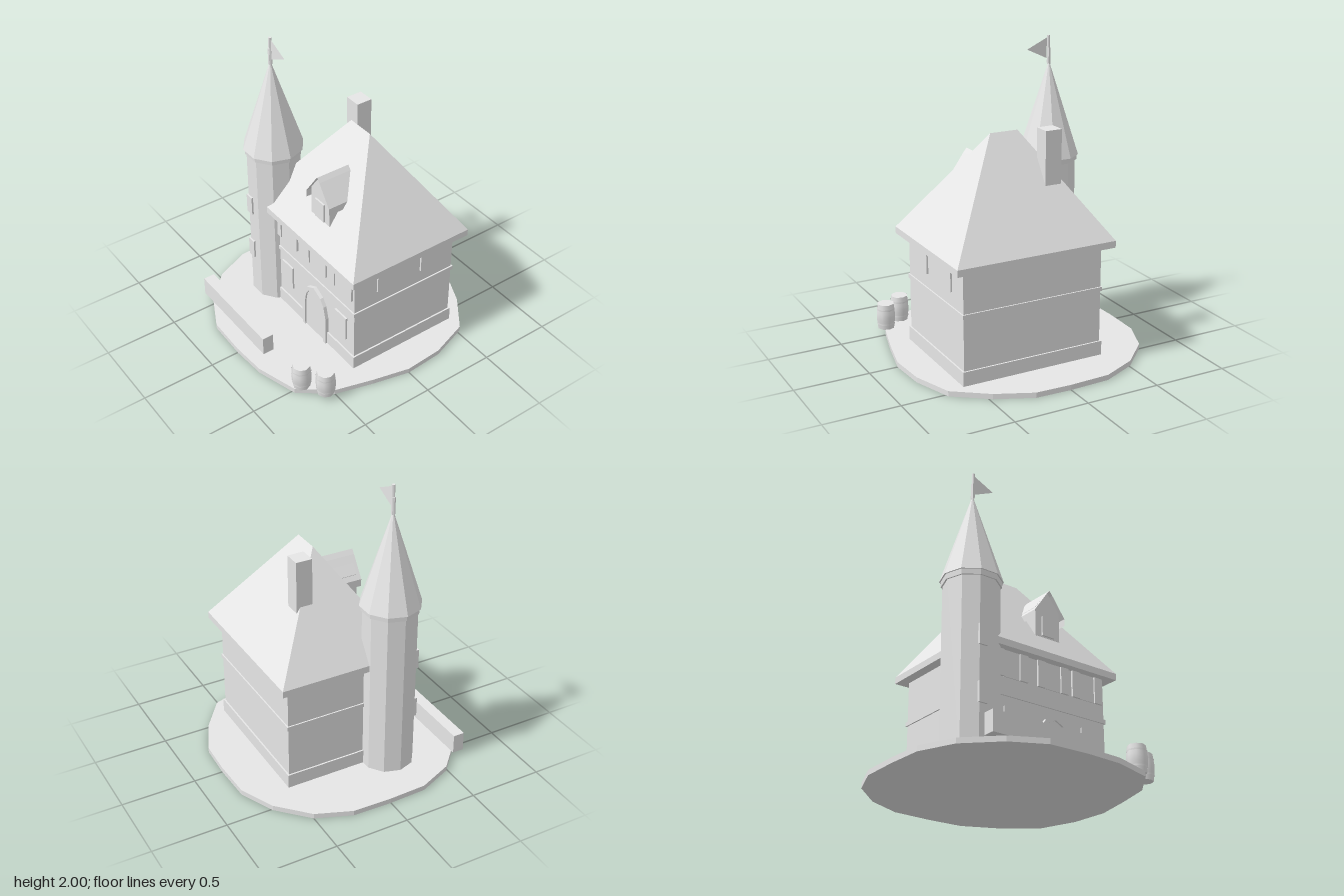
import * as THREE from 'three';

const stone = new THREE.MeshStandardMaterial({ color: 0xe6e6e6, side: THREE.DoubleSide });
stone.name = 'paleGrey';

export function createModel() {
  const root = new THREE.Group();
  root.name = 'towerHouse';

  const add = (name, geo, parent = root) => {
    const mesh = new THREE.Mesh(geo, stone);
    mesh.name = name;
    parent.add(mesh);
    return mesh;
  };
  const group = (name) => {
    const g = new THREE.Group();
    g.name = name;
    root.add(g);
    return g;
  };
  // Box given by its limits on each axis
  const box = (name, x0, x1, y0, y1, z0, z1, parent) => {
    const geo = new THREE.BoxGeometry(x1 - x0, y1 - y0, z1 - z0);
    geo.translate((x0 + x1) / 2, (y0 + y1) / 2, (z0 + z1) / 2);
    return add(name, geo, parent);
  };
  // Flat-faced triangles from a list of four-cornered faces
  const quads = (faces) => {
    const pos = faces.flatMap(([a, b, c, d]) => [a, b, c, a, c, d].flat());
    const geo = new THREE.BufferGeometry();
    geo.setAttribute('position', new THREE.Float32BufferAttribute(pos, 3));
    geo.computeVertexNormals();
    return geo;
  };
  // Open shell through rectangular sections [y, x0, x1, z0, z1], from bottom to top
  const shell = (sections) => {
    const loops = sections.map(([y, x0, x1, z0, z1]) => [[x0, y, z1], [x1, y, z1], [x1, y, z0], [x0, y, z0]]);
    const faces = [];
    for (let i = 0; i < loops.length - 1; i++)
      for (let k = 0; k < 4; k++) {
        const n = (k + 1) % 4;
        faces.push([loops[i][k], loops[i][n], loops[i + 1][n], loops[i + 1][k]]);
      }
    return quads(faces);
  };
  // Turned shape with flat facets and a corner on the x axis
  const turned = (profile, sides, x, z) => {
    const pts = profile.map(([r, y]) => new THREE.Vector2(r, y));
    const geo = new THREE.LatheGeometry(pts, sides, Math.PI / 2).toNonIndexed();
    geo.computeVertexNormals();
    return geo.translate(x, 0, z);
  };
  const shape = (pts) => new THREE.Shape(pts.map(([x, y]) => new THREE.Vector2(x, y)));
  const extrude = (s, depth) => new THREE.ExtrudeGeometry(s, { depth, bevelEnabled: false });

  // Uneven round ground slab, outlined in x and z
  const floor = 0.035;
  const rim = [
    [0, -0.803], [0.24, -0.793], [0.48, -0.685], [0.7, -0.523], [0.79, -0.26], [0.808, 0], [0.75, 0.25],
    [0.68, 0.5], [0.52, 0.703], [0.24, 0.788], [0, 0.803], [-0.28, 0.795], [-0.5, 0.685], [-0.7, 0.492],
    [-0.8, 0.255], [-0.808, 0], [-0.8, -0.265], [-0.705, -0.5], [-0.51, -0.687], [-0.275, -0.793],
  ];
  add('ground', extrude(shape(rim.map(([x, z]) => [x, -z])), floor).rotateX(-Math.PI / 2));

  // House walls with a stepped plinth and floor band; second number is the step outward
  const house = group('house');
  const around = ([y, e]) => [y, -0.386 - e, 0.583 + e, -0.506 - e, 0.281 + e];
  add('walls', shell([
    [floor, 0.011], [0.13, 0.011], [0.13, 0], [0.475, 0],
    [0.475, 0.009], [0.503, 0.009], [0.503, 0], [0.775, 0],
  ].map(around)), house);

  // Hipped roof with a square eave
  add('mainRoof', shell([
    around([0.775, 0]),
    [0.775, -0.452, 0.65, -0.57, 0.342],
    [0.82, -0.452, 0.65, -0.57, 0.342],
    [1.49, 0.003, 0.194, -0.115, -0.115],
  ]), house);
  box('chimney', -0.19, -0.077, 1.1, 1.519, -0.333, -0.223, house);

  // Upper windows with a shutter on either side
  const windows = group('windows');
  for (const x of [-0.155, 0.168, 0.444]) {
    box('upperWindow', x - 0.059, x + 0.059, 0.598, 0.775, 0.278, 0.287, windows);
    for (const s of [-1, 1]) {
      const c = x + s * 0.092;
      box('shutter', c - 0.031, c + 0.031, 0.598, 0.775, 0.278, 0.295, windows);
    }
  }
  for (const z of [0.049, -0.297])
    box('sideWindow', 0.58, 0.595, 0.598, 0.775, z - 0.058, z + 0.058, windows);
  for (const x of [-0.154, 0.448])
    box('lowerWindow', x - 0.061, x + 0.061, 0.228, 0.405, 0.278, 0.293, windows);

  // Pointed doorway: frame with a hole, and the door inside it
  const c = 0.17;
  const arch = (half, top, k) => [
    [c - half, floor], [c + half, floor], [c + half, 0.25 * k], [c + half * 0.84, 0.34 * k],
    [c + half * 0.57, 0.39 * k], [c, top], [c - half * 0.57, 0.39 * k],
    [c - half * 0.84, 0.34 * k], [c - half, 0.25 * k],
  ];
  const inner = arch(0.104, 0.398, 0.94);
  const frame = shape(arch(0.132, 0.43, 1));
  frame.holes.push(shape(inner));
  add('doorFrame', extrude(frame, 0.025).translate(0, 0, 0.28));
  add('door', new THREE.ShapeGeometry(shape(inner)).translate(0, 0, 0.293));

  // Dormer: gabled wall, small window and thin folded roof
  const dormer = group('dormer');
  add('dormerWall', extrude(shape([[0.07, 0.972], [0.264, 0.972], [0.264, 1.17], [0.167, 1.302], [0.07, 1.17]]), 0.2)
    .translate(0, 0, 0.041), dormer);
  box('dormerWindow', 0.12, 0.216, 0.98, 1.115, 0.235, 0.252, dormer);
  // Roof fold points: x, y and how far back the sheet reaches
  const fold = [
    [0.049, 1.088, 0.155], [0.049, 1.137, 0.122], [0.147, 1.277, 0.03], [0.17, 1.306, 0.03],
    [0.193, 1.277, 0.03], [0.291, 1.137, 0.122], [0.291, 1.088, 0.155],
  ];
  add('dormerRoof', quads(fold.slice(1).map(([bx, by, bz], i) => {
    const [ax, ay, az] = fold[i];
    return [[ax, ay, 0.265], [bx, by, 0.265], [bx, by, bz], [ax, ay, az]];
  })), dormer);

  // Ten-sided tower with a collar and a pointed roof
  const tower = group('tower');
  const tx = -0.407, tz = 0.207;
  add('towerWall', turned([[0.18, floor], [0.18, 1.172], [0.19, 1.172], [0.192, 1.207]], 10, tx, tz), tower);
  add('towerRoof', turned([[0.192, 1.207], [0.201, 1.207], [0.003, 1.825]], 10, tx, tz), tower);
  for (const y of [0.339, 0.708])
    box('towerWindow', -0.471, -0.411, y, y + 0.135, 0.372, 0.39, tower);

  // Flagpole and pennant
  add('poleSocket', turned([[0.013, 1.81], [0.013, 1.92], [0, 1.92]], 6, tx, tz), tower);
  add('flagPole', turned([[0.011, 1.82], [0.011, 2], [0, 2]], 6, tx + 0.005, tz), tower);
  add('flag', new THREE.ShapeGeometry(shape([[-0.39, 1.85], [-0.245, 1.918], [-0.39, 1.985]])).translate(0, 0, tz), tower);

  // Low garden wall
  box('lowWall', -0.597, 0.144, floor, 0.168, 0.614, 0.692);

  // Eight-sided barrels with raised hoops
  const barrels = group('barrels');
  const stave = [[0.057, 0], [0.062, 0.04], [0.065, 0.065], [0.066, 0.087],
    [0.065, 0.109], [0.062, 0.134], [0.057, 0.174]].map(([r, y]) => new THREE.Vector2(r, y));
  for (const [x, z] of [[0.513, 0.643], [0.652, 0.553]]) {
    add('barrelBody', new THREE.LatheGeometry(stave, 8).translate(x, floor, z), barrels);
    for (const y of [0.072, 0.172])
      add('hoop', new THREE.CylinderGeometry(0.064, 0.064, 0.01, 8, 1, true).translate(x, y, z), barrels);
    for (const [y, turn] of [[floor, Math.PI / 2], [0.209, -Math.PI / 2]])
      add('barrelLid', new THREE.CircleGeometry(0.057, 8).rotateX(turn).translate(x, y, z), barrels);
  }
  return root;
}
